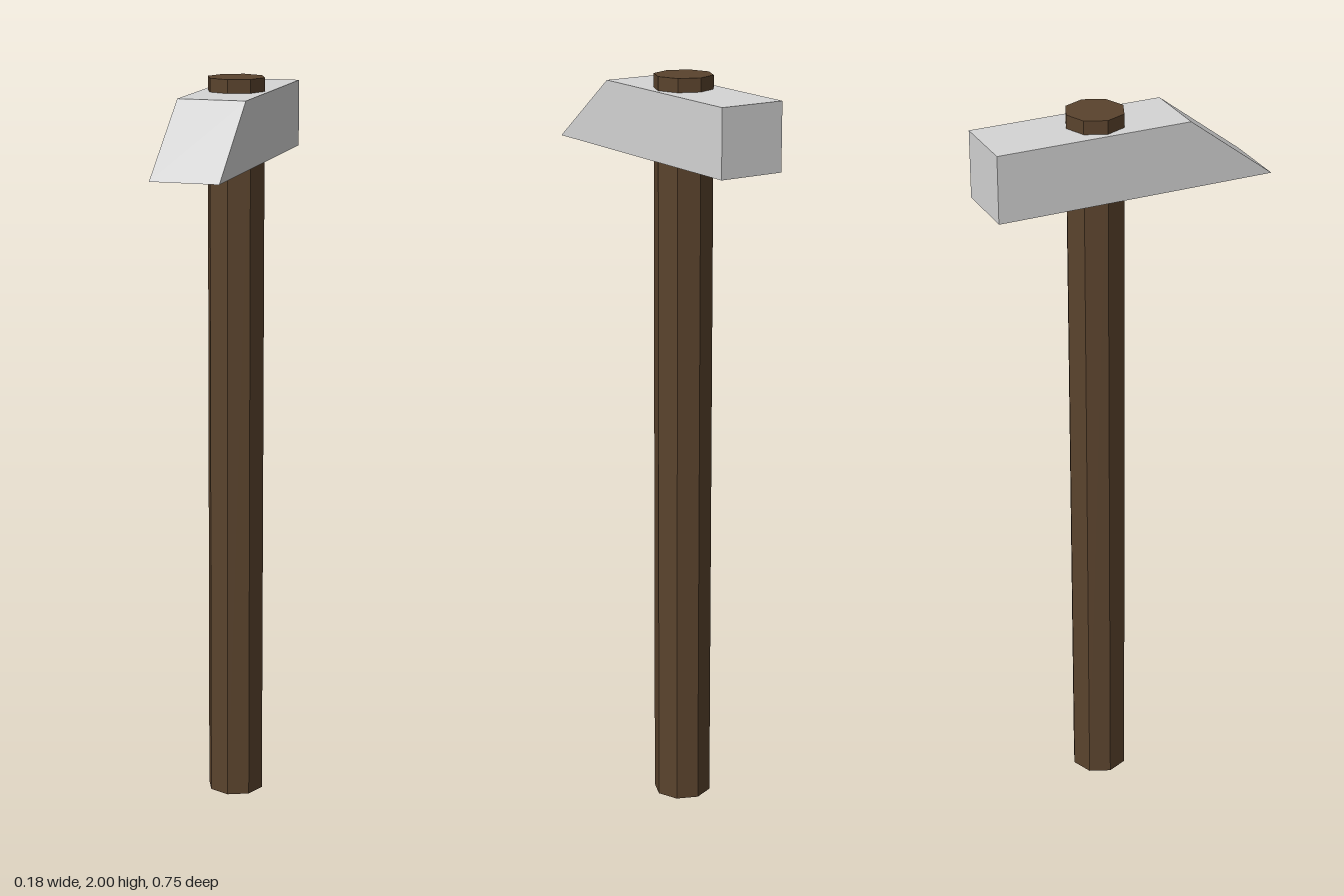
import * as THREE from 'three';

export function createModel() {
  const model = new THREE.Group();
  model.name = 'hammer';

  const wood = new THREE.MeshStandardMaterial({ name: 'dark wood', color: 0x5a432d, flatShading: true });
  const steel = new THREE.MeshStandardMaterial({ name: 'pale steel', color: 0xd5d5d5, flatShading: true });

  // Octagonal handle, poking slightly out of the head
  const handle = new THREE.Mesh(new THREE.CylinderGeometry(0.078, 0.078, 2, 8), wood);
  handle.name = 'handle';
  handle.position.set(0, 1, -0.078);
  model.add(handle);

  // Head: side profile (z, y) with a sloped wedge at the front, extruded across x
  const width = 0.182;
  const profile = new THREE.Shape([
    new THREE.Vector2(-0.378, 1.785),
    new THREE.Vector2(0.376, 1.785),
    new THREE.Vector2(0.144, 1.964),
    new THREE.Vector2(-0.378, 1.964),
  ]);
  const headGeometry = new THREE.ExtrudeGeometry(profile, { depth: width, bevelEnabled: false });
  headGeometry.translate(0, 0, -width / 2);
  headGeometry.rotateY(-Math.PI / 2);
  const head = new THREE.Mesh(headGeometry, steel);
  head.name = 'head';
  model.add(head);

  return model;
}
